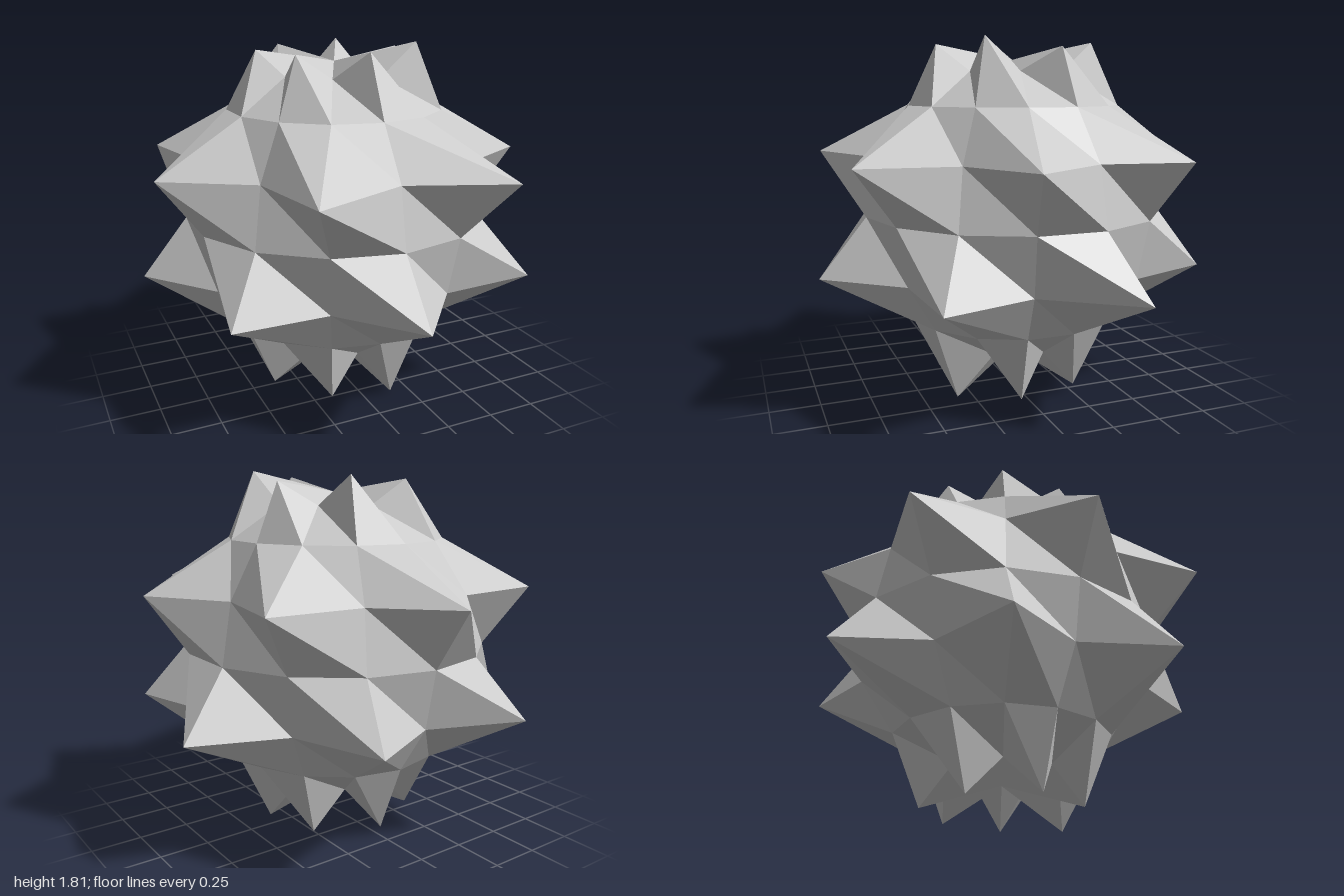
import * as THREE from 'three';

const SEGMENTS = 14, ROWS = 8;
const RADIUS = 0.77, CENTRE = new THREE.Vector3(-0.01, 0.94, -0.03);

// Spikes on every odd row: [radius, height, angle in degrees from the back]
const SPIKES = {
  1: [[0.405, 1.795, 25.7], [0.415, 1.765, 76], [0.41, 1.812, 128.6], [0.4, 1.783, 180],
      [0.39, 1.77, 231], [0.39, 1.77, 284], [0.385, 1.775, 334]],
  3: [[0.963, 1.235, 0], [0.987, 1.235, 52.3], [0.974, 1.235, 103.7], [1.04, 1.235, 151.5],
      [1.038, 1.235, 207.6], [0.987, 1.235, 258.7], [0.998, 1.235, 308]],
  5: [[0.989, 0.645, 24], [1.04, 0.645, 74.8], [1.02, 0.645, 127], [1.01, 0.645, 180],
      [1.0, 0.645, 230.6], [1.0, 0.645, 281.4], [1.016, 0.645, 332]],
  7: [[0.4, 0.04, 0], [0.378, 0.035, 52], [0.37, 0.023, 103], [0.394, 0.0, 155.5],
      [0.4, 0.05, 206], [0.4, 0.05, 257], [0.385, 0.045, 308.6]],
};

const ringPoint = (r, y, angle) => new THREE.Vector3(
  CENTRE.x + r * Math.sin(angle), y, CENTRE.z - r * Math.cos(angle));

// A point of the ball; every second point of an odd row is pulled out to a spike
function point(row, seg) {
  seg %= SEGMENTS;
  const first = row % 4 === 1 ? 1 : 0;
  if (row % 2 === 1 && seg % 2 === first) {
    const [r, y, degrees] = SPIKES[row][(seg - first) / 2];
    return ringPoint(r, y, THREE.MathUtils.degToRad(degrees));
  }
  const polar = row * Math.PI / ROWS;
  return ringPoint(RADIUS * Math.sin(polar), CENTRE.y + RADIUS * Math.cos(polar),
    seg * 2 * Math.PI / SEGMENTS);
}

export function createModel() {
  const corners = [];
  for (let row = 0; row < ROWS; row++) {
    for (let seg = 0; seg < SEGMENTS; seg++) {
      const upA = point(row, seg), upB = point(row, seg + 1);
      const lowA = point(row + 1, seg), lowB = point(row + 1, seg + 1);
      // Single triangles at the poles, two per cell elsewhere
      if (row < ROWS - 1) corners.push(upB, lowB, lowA);
      if (row > 0) corners.push(upB, lowA, upA);
    }
  }
  const geometry = new THREE.BufferGeometry().setFromPoints(corners);
  geometry.computeVertexNormals();

  const ball = new THREE.Mesh(geometry,
    new THREE.MeshStandardMaterial({ color: 0xcccccc, flatShading: true }));
  ball.name = 'spikedBall';
  const group = new THREE.Group();
  group.name = 'spikedBallModel';
  group.add(ball);
  return group;
}
